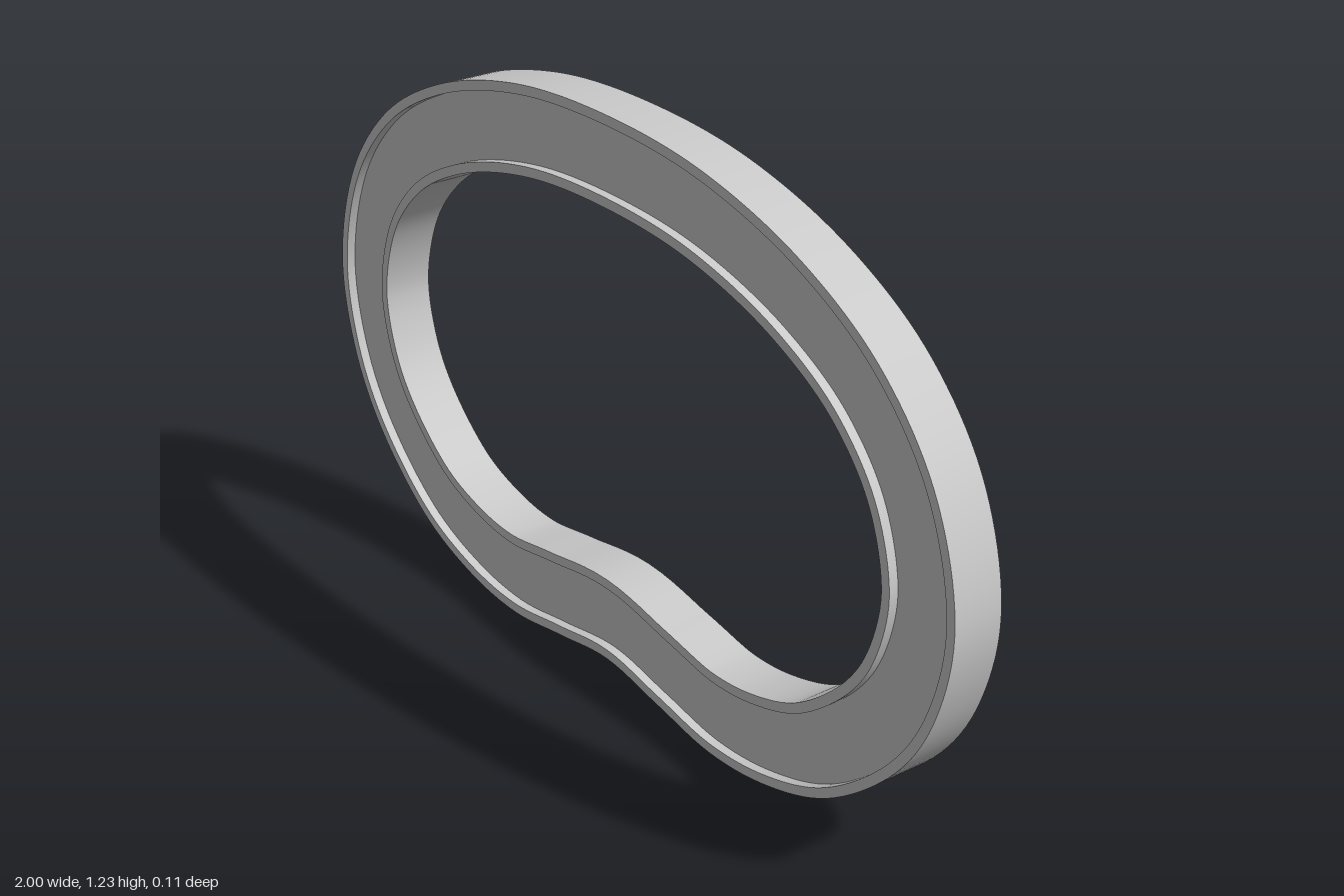
import * as THREE from 'three';

const SEGMENTS = 200;
const WIDTH = 0.187, HALF_DEPTH = 0.054, RIM = 0.021, RECESS = 0.02;

// Right half of the outer outline, from top centre to bottom centre
const HALF = [
  [0, 1.232], [0.3, 1.209], [0.58, 1.128], [0.79, 1.005], [0.935, 0.83], [1, 0.6],
  [0.965, 0.4], [0.875, 0.245], [0.69, 0.087], [0.51, 0.02], [0.34, 0.002], [0.17, 0.026], [0, 0.05],
];

// Cross-section: [distance inward from the outer edge, z]
const F = HALF_DEPTH, L = HALF_DEPTH - RECESS;
const SECTION = [
  [0, -F], [0, F], [RIM, F], [RIM, L],
  [WIDTH - RIM, L], [WIDTH - RIM, F], [WIDTH, F], [WIDTH, -F],
];
const NAMES = ['outerWall', 'outerRim', 'outerRecessWall', 'recessedFace',
  'innerRecessWall', 'innerRim', 'innerWall', 'backFace'];

// One strip of the frame between two section corners, smooth along its length
function band(frames, p, q) {
  const pos = [], index = [];
  frames.forEach(({ point, inward }, i) => {
    for (const [d, z] of [p, q]) {
      pos.push(point.x + inward.x * d, point.y + inward.y * d, z);
    }
    const a = 2 * i, d = 2 * ((i + 1) % frames.length);
    index.push(a, a + 1, d + 1, a, d + 1, d);
  });
  const geometry = new THREE.BufferGeometry();
  geometry.setAttribute('position', new THREE.Float32BufferAttribute(pos, 3));
  geometry.setIndex(index);
  geometry.computeVertexNormals();
  return geometry;
}

export function createModel() {
  const group = new THREE.Group();
  group.name = 'beanShapedFrame';
  const material = new THREE.MeshStandardMaterial({ color: 0xcccccc });

  // Closed outline, mirrored left to right
  const mirrored = HALF.slice(1, -1).reverse().map(([x, y]) => [-x, y]);
  const points = [...HALF, ...mirrored].map(([x, y]) => new THREE.Vector3(x, y, 0));
  const curve = new THREE.CatmullRomCurve3(points, true, 'centripetal');
  curve.arcLengthDivisions = 1000;

  const frames = Array.from({ length: SEGMENTS }, (_, i) => {
    const t = curve.getTangentAt(i / SEGMENTS);
    return { point: curve.getPointAt(i / SEGMENTS), inward: new THREE.Vector3(t.y, -t.x, 0) };
  });

  // Sweep every side of the cross-section round the outline
  SECTION.forEach((p, k) => {
    const mesh = new THREE.Mesh(band(frames, p, SECTION[(k + 1) % SECTION.length]), material);
    mesh.name = NAMES[k];
    group.add(mesh);
  });
  return group;
}
